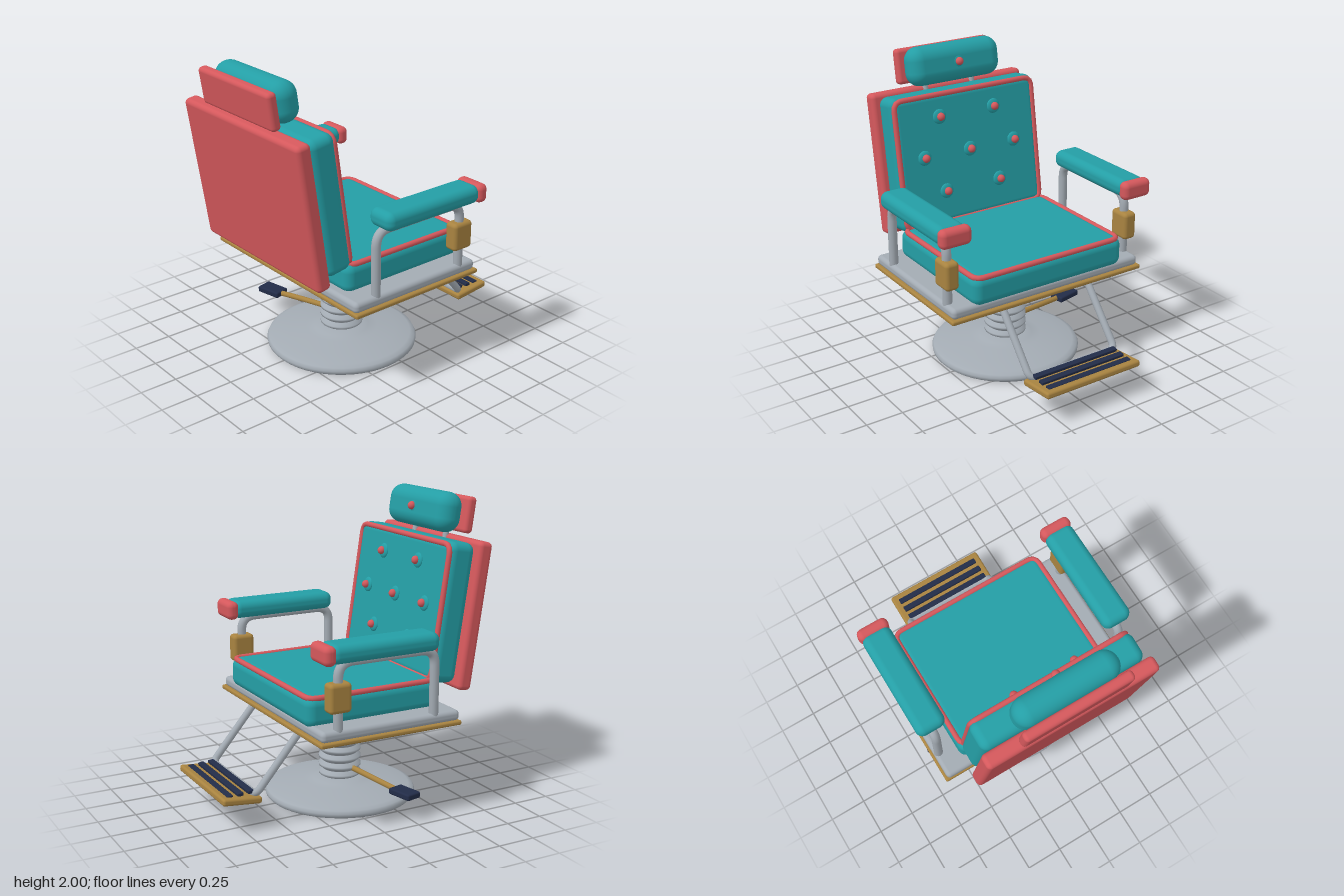
import * as THREE from 'three';
import { RoundedBoxGeometry } from 'three/addons/geometries/RoundedBoxGeometry.js';

const mat = (name, color) => Object.assign(new THREE.MeshStandardMaterial({ color }), { name });
const V = (x, y, z) => new THREE.Vector3(x, y, z);

export function createModel() {
  const teal = mat('teal upholstery', 0x249ea5);
  const red = mat('red trim', 0xd4585c);
  const steel = mat('grey steel', 0xa3abb3);
  const gold = mat('aged brass', 0xa88340);
  const navy = mat('navy rubber', 0x222c48);

  const model = new THREE.Group();
  model.name = 'reclinerChair';

  const add = (parent, name, geometry, material, x = 0, y = 0, z = 0) => {
    const mesh = new THREE.Mesh(geometry, material);
    mesh.name = name;
    mesh.position.set(x, y, z);
    parent.add(mesh);
    return mesh;
  };
  const group = (name, x, y, z, tilt) => {
    const g = new THREE.Group();
    g.name = name;
    g.position.set(x, y, z);
    g.rotation.z = tilt;
    model.add(g);
    return g;
  };
  const pad = (w, h, d, r) => new RoundedBoxGeometry(w, h, d, 5, r);

  // Tube along straight runs with rounded corners
  const bentTube = (pts, bend, radius, closed = false) => {
    const path = new THREE.CurvePath();
    const n = pts.length;
    const toward = (a, b) => a.clone().add(b.clone().sub(a).setLength(bend));
    let from = closed ? toward(pts[0], pts[1]) : pts[0];
    for (let i = 1; i <= (closed ? n : n - 2); i++) {
      const p = pts[i % n];
      const a = toward(p, pts[i - 1]);
      const b = toward(p, pts[(i + 1) % n]);
      path.add(new THREE.LineCurve3(from, a));
      path.add(new THREE.QuadraticBezierCurve3(a, p, b));
      from = b;
    }
    if (!closed) path.add(new THREE.LineCurve3(from, pts[n - 1]));
    return new THREE.TubeGeometry(path, 140, radius, 12, closed);
  };
  const button = (parent, x, y, z) => {
    add(parent, 'tuft', new THREE.SphereGeometry(0.05, 20, 12), teal, x - 0.02, y, z).scale.x = 0.36;
    add(parent, 'button', new THREE.SphereGeometry(0.027, 16, 12), red, x, y, z);
  };

  // Pedestal: domed base, bellows, piston and mounting flange
  const axis = -0.1;
  const lathe = (pts) => new THREE.LatheGeometry(pts.map(([r, y]) => new THREE.Vector2(r, y)), 48);
  add(model, 'base', lathe([[0, 0], [0.485, 0], [0.497, 0.012], [0.5, 0.03], [0.49, 0.05], [0.46, 0.062],
    [0.36, 0.082], [0.24, 0.1], [0.18, 0.108], [0.13, 0.13], [0, 0.13]]), steel, axis);
  const folds = [[0.115, 0.1]];
  for (let i = 0; i < 5; i++) {
    const y = 0.118 + i * 0.056;
    folds.push([0.115, y], [0.14, y + 0.02], [0.14, y + 0.034], [0.115, y + 0.054]);
  }
  folds.push([0.075, 0.4]);
  add(model, 'bellows', lathe(folds), steel, axis);
  add(model, 'piston', new THREE.CylinderGeometry(0.08, 0.08, 0.22, 32), steel, axis, 0.48);
  add(model, 'flange', new THREE.CylinderGeometry(0.205, 0.2, 0.04, 40), steel, axis, 0.585);

  // Height lever with rubber pedal
  add(model, 'lever', bentTube([V(-0.12, 0.2, -0.08), V(-0.175, 0.18, -0.34), V(-0.22, 0.164, -0.53)], 0.06, 0.018), gold);
  add(model, 'leverPedal', pad(0.11, 0.042, 0.18, 0.012), navy, -0.235, 0.165, -0.6).rotation.y = 0.21;

  // Seat
  add(model, 'seatPan', pad(1, 0.03, 1.46, 0.012), gold, -0.07, 0.615);
  add(model, 'seatFrame', pad(0.98, 0.07, 1.43, 0.028), steel, -0.075, 0.66);
  add(model, 'seatCushion', pad(0.945, 0.2, 1.14, 0.06), teal, -0.038, 0.77);
  add(model, 'seatPiping', bentTube([V(-0.47, 0.86, -0.548), V(0.413, 0.86, -0.548),
    V(0.413, 0.86, 0.548), V(-0.47, 0.86, 0.548)], 0.06, 0.018, true), red);

  // Tilted backrest
  const tilt = 0.148;
  const back = group('backrest', -0.61, 1.27, 0, tilt);
  add(back, 'backCushion', pad(0.195, 0.9, 1.11, 0.055), teal);
  add(back, 'backPanel', pad(0.1, 0.955, 1.17, 0.03), red, -0.15, -0.008);
  add(back, 'backPiping', bentTube([V(0.09, -0.43, -0.532), V(0.09, 0.43, -0.532),
    V(0.09, 0.43, 0.532), V(0.09, -0.43, 0.532)], 0.06, 0.018, true), red);
  for (const [y, zs] of [[0.285, [-0.21, 0.21]], [0.03, [-0.35, 0, 0.35]], [-0.22, [-0.21, 0.21]]]) {
    for (const z of zs) button(back, 0.118, y, z);
  }

  // Headrest on two posts
  const head = group('headrest', -0.733, 1.87, 0, tilt);
  add(head, 'headCushion', pad(0.185, 0.26, 0.69, 0.09), teal);
  add(head, 'headPanel', pad(0.066, 0.235, 0.72, 0.025), red, -0.125, 0);
  button(head, 0.1, 0.005, 0);
  for (const s of [-1, 1]) {
    add(head, 'headrestPost', new THREE.CylinderGeometry(0.02, 0.02, 0.26, 16), steel, -0.075, -0.17, s * 0.18);
  }

  // Armrests
  for (const s of [-1, 1]) {
    const z = s * 0.682;
    add(model, 'armFrame', bentTube([V(-0.385, 0.66, z), V(-0.385, 1.105, z), V(0.293, 1.105, z),
      V(0.293, 0.66, z)], 0.1, 0.03), steel);
    add(model, 'armPad', pad(0.75, 0.118, 0.2, 0.05), teal, 0.005, 1.171, z);
    add(model, 'armCap', pad(0.082, 0.122, 0.215, 0.036), red, 0.392, 1.171, z);
    add(model, 'armClamp', pad(0.15, 0.185, 0.095, 0.025), gold, 0.294, 0.893, z);
  }

  // Footrest
  add(model, 'footrestFrame', bentTube([V(0.34, 0.625, -0.332), V(0.675, 0.23, -0.332),
    V(0.675, 0.23, 0.332), V(0.34, 0.625, 0.332)], 0.05, 0.024), steel);
  add(model, 'footPlate', pad(0.262, 0.044, 0.72, 0.016), gold, 0.771, 0.21).rotation.z = 0.1;
  for (let i = 0; i < 3; i++) {
    add(model, 'footGrip', pad(0.04, 0.022, 0.635, 0.005), navy, 0.698 + i * 0.07, 0.247 - i * 0.005).rotation.z = -0.1;
  }
  return model;
}
